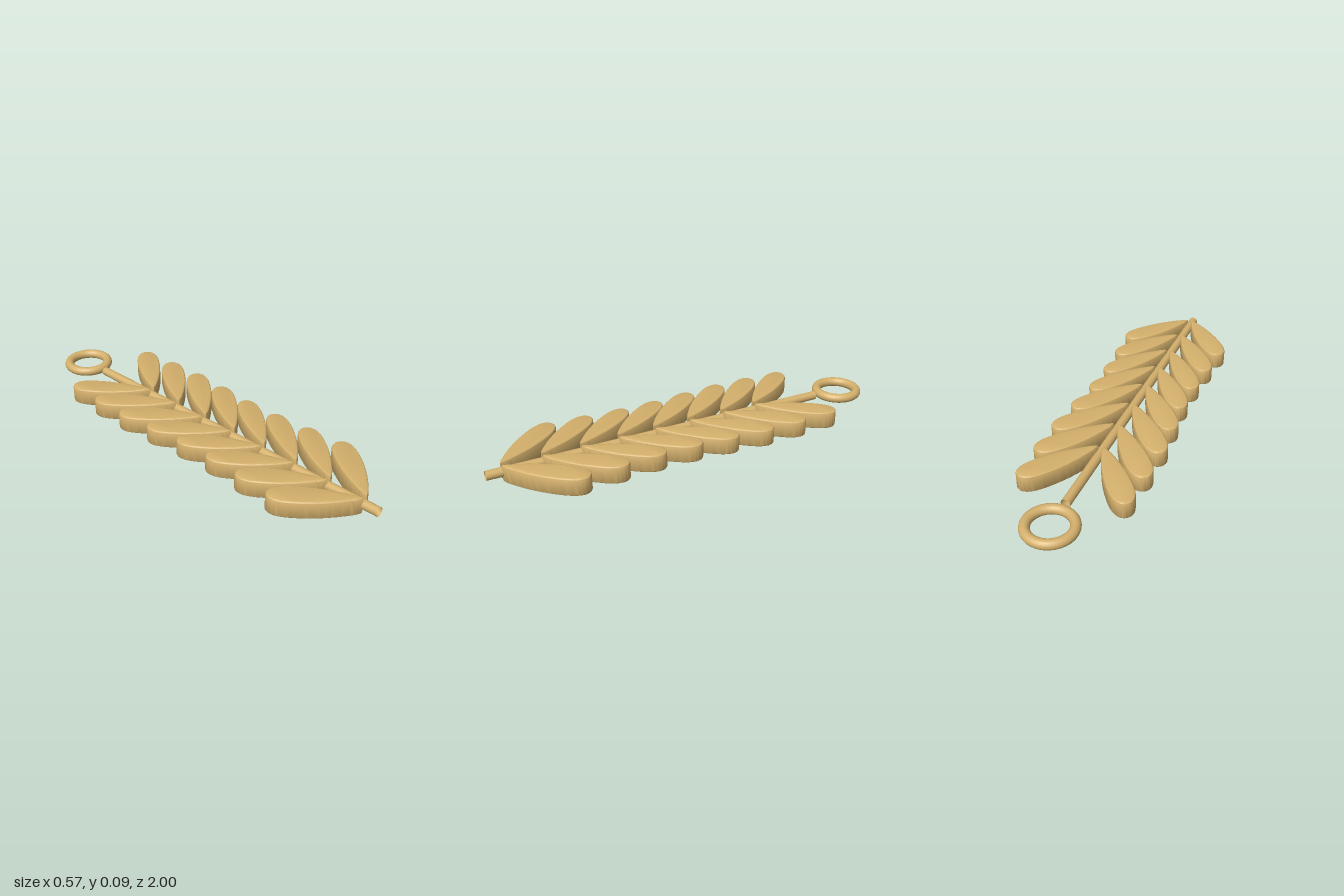
import * as THREE from 'three';
import { toCreasedNormals } from 'three/addons/utils/BufferGeometryUtils.js';

const HEIGHT = 0.086;
const BEVEL = 0.01;
const MID_Y = HEIGHT / 2;

// Thick teardrop leaf lying flat, pointed end at the origin, growing toward -z
function leafGeometry() {
  const s = new THREE.Shape();
  s.moveTo(0, 0.014);
  s.bezierCurveTo(0.024, 0.08, 0.052, 0.18, 0.049, 0.3);
  s.bezierCurveTo(0.047, 0.365, 0.028, 0.395, 0, 0.395);
  s.bezierCurveTo(-0.028, 0.395, -0.047, 0.365, -0.049, 0.3);
  s.bezierCurveTo(-0.052, 0.18, -0.024, 0.08, 0, 0.014);
  const g = new THREE.ExtrudeGeometry(s, {
    depth: HEIGHT - 2 * BEVEL,
    bevelEnabled: true,
    bevelSize: BEVEL,
    bevelThickness: BEVEL,
    bevelSegments: 4,
    curveSegments: 20,
  });
  g.translate(0, 0, BEVEL);
  g.rotateX(-Math.PI / 2);
  return toCreasedNormals(g, 0.7);
}

export function createModel() {
  const model = new THREE.Group();
  model.name = 'leafPendant';
  const gold = new THREE.MeshStandardMaterial({ color: 0xd4b06c, side: THREE.DoubleSide });
  gold.name = 'gold';

  // Open-ended round stem
  const stemGeo = new THREE.CylinderGeometry(0.022, 0.022, 1.73, 24, 1, true);
  stemGeo.rotateX(Math.PI / 2);
  const stem = new THREE.Mesh(stemGeo, gold);
  stem.name = 'stem';
  stem.position.set(0, MID_Y, 0.135);
  model.add(stem);

  // Hanging ring
  const ringGeo = new THREE.TorusGeometry(0.1035, 0.0235, 20, 56);
  ringGeo.rotateX(Math.PI / 2);
  const ring = new THREE.Mesh(ringGeo, gold);
  ring.name = 'ring';
  ring.position.set(0, MID_Y, -0.873);
  model.add(ring);

  // Eight mirrored leaf pairs, each with its own reach from the stem
  const leafGeo = leafGeometry();
  const reach = [0.255, 0.265, 0.267, 0.255, 0.241, 0.241, 0.252, 0.266];
  reach.forEach((r, i) => {
    const pair = new THREE.Group();
    pair.name = `leafPair${i + 1}`;
    pair.position.z = -0.36 + 0.184 * i;
    pair.scale.x = r / 0.264;
    for (const side of [1, -1]) {
      const leaf = new THREE.Mesh(leafGeo, gold);
      leaf.name = side > 0 ? 'leftLeaf' : 'rightLeaf';
      leaf.position.x = side * 0.012;
      leaf.rotation.y = -side * 0.67;
      pair.add(leaf);
    }
    model.add(pair);
  });

  return model;
}
